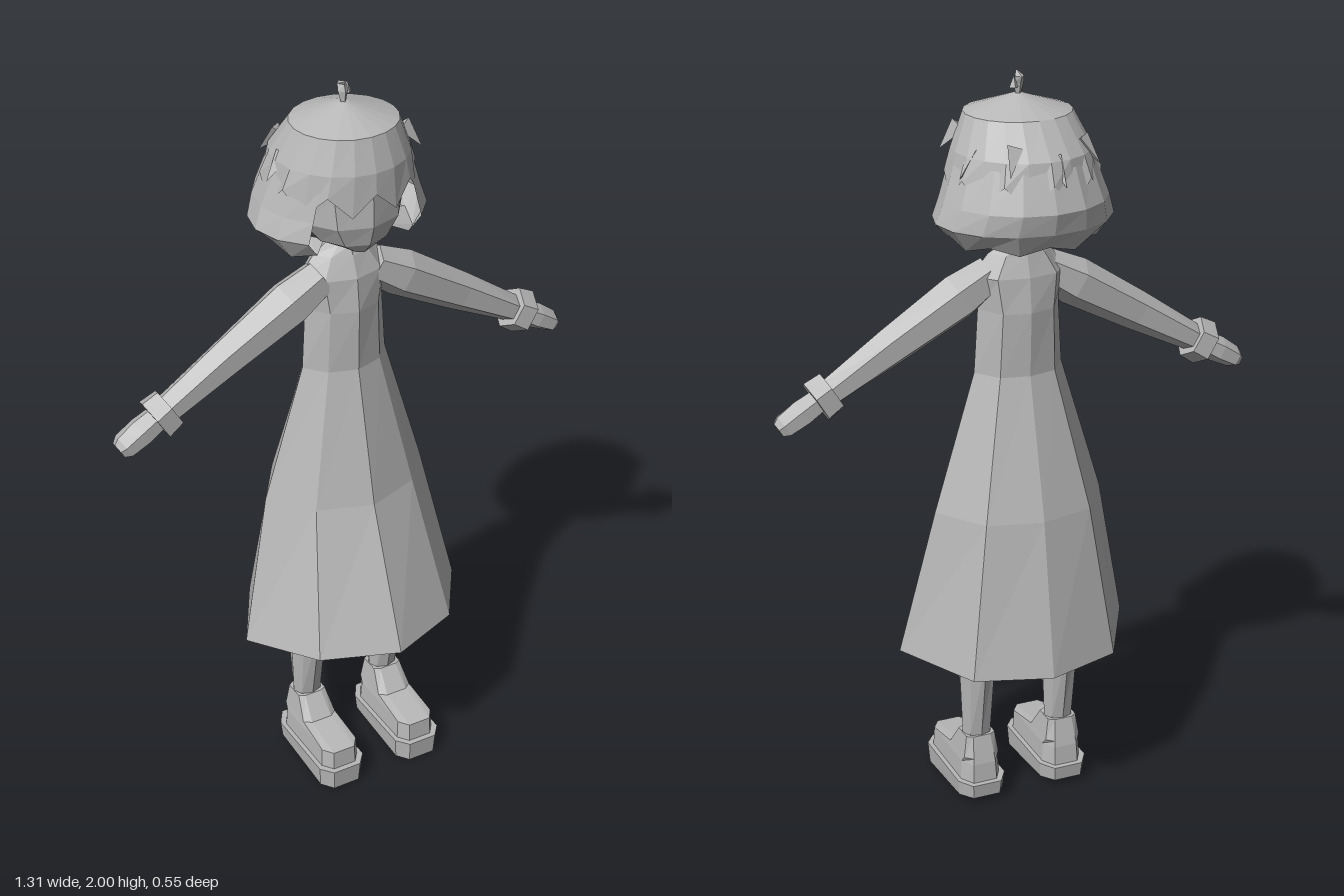
import * as THREE from 'three';

const grey = new THREE.MeshStandardMaterial({ color: 0xb8b8b8, flatShading: true, side: THREE.DoubleSide });
grey.name = 'plain grey';

// Plan directions, running from the front (+z) round by +x
const round = (n, from = 0, to = 2 * Math.PI, open = false) =>
  Array.from({ length: n }, (_, i) => {
    const a = from + (to - from) * i / (open ? n - 1 : n);
    return [Math.sin(a), Math.cos(a)];
  });
const mirrored = half => [...half, ...half.filter(p => p[0] > 0.001).reverse().map(([x, z]) => [-x, z])];
const DRESS = mirrored([[0, 1], [0.62, 0.7], [1, 0.02], [0.62, -0.78], [0, -1]]);
const SHOE = mirrored([[0.6, 1], [1, 0.78], [1, -0.72], [0.6, -1]]);

// One cross-section: height, half width, front z, back z
function ring(dirs, [y, rx, zf, zb], zigzag = 0) {
  const zc = (zf + zb) / 2, rz = (zf - zb) / 2;
  return dirs.map(([x, z], i) => new THREE.Vector3(x * rx, y - (i % 2) * zigzag, zc + z * rz));
}

// Skin between cross-sections listed from bottom to top
function loft(rings, { open = false, bottom = true, top = true } = {}) {
  const n = rings[0].length, pos = [], idx = [];
  rings.forEach(r => r.forEach(p => pos.push(p.x, p.y, p.z)));
  for (let j = 0; j < rings.length - 1; j++) {
    for (let i = 0; i < (open ? n - 1 : n); i++) {
      const a = j * n + i, b = j * n + (i + 1) % n;
      idx.push(a, b, b + n, a, b + n, a + n);
    }
  }
  const t = (rings.length - 1) * n;
  for (let i = 1; i < n - 1; i++) {
    if (bottom && !open) idx.push(0, i + 1, i);
    if (top && !open) idx.push(t, t + i, t + i + 1);
  }
  const g = new THREE.BufferGeometry();
  g.setAttribute('position', new THREE.Float32BufferAttribute(pos, 3));
  g.setIndex(idx);
  const flat = g.toNonIndexed();
  flat.computeVertexNormals();
  return flat;
}

export function createModel() {
  const model = new THREE.Group();
  model.name = 'girlInDress';
  const add = (name, geometry, parent = model) => {
    const m = new THREE.Mesh(geometry, grey);
    m.name = name;
    parent.add(m);
    return m;
  };
  const solid = (name, dirs, sections, parent, options) =>
    add(name, loft(sections.map(s => ring(dirs, s)), options), parent);

  // Skirt, open below with a hem that dips at the back
  const hem = ring(DRESS, [0.455, 0.325, 0.272, -0.275]);
  hem.forEach(p => { p.y += p.z * 0.055; });
  add('skirt', loft([hem,
    ring(DRESS, [0.86, 0.235, 0.125, -0.208]),
    ring(DRESS, [1.23, 0.122, 0.042, -0.116])], { bottom: false, top: false }));

  // Bodice, shoulders and collar
  solid('bodice', DRESS, [
    [1.23, 0.122, 0.042, -0.116], [1.4, 0.112, 0.045, -0.122], [1.49, 0.13, 0.035, -0.112],
    [1.545, 0.085, 0.012, -0.095], [1.57, 0.045, 0.0, -0.09]]);
  solid('neck', round(6), [[1.53, 0.038, 0.0, -0.085], [1.65, 0.038, 0.0, -0.085]]);

  for (const side of [1, -1]) {
    // Arm, built upright and then swung out and down
    const arm = new THREE.Group();
    arm.name = side > 0 ? 'leftArm' : 'rightArm';
    arm.position.set(side * 0.1, 1.473, -0.027);
    arm.rotation.z = -side * 2.102;
    model.add(arm);
    const six = round(6, Math.PI / 6, Math.PI * 13 / 6);
    solid('sleeve', six, [
      [-0.03, 0.05, 0.05, -0.05], [0.07, 0.064, 0.06, -0.06],
      [0.28, 0.053, 0.046, -0.046], [0.49, 0.036, 0.04, -0.04]], arm);
    solid('cuff', six, [
      [0.467, 0.058, 0.056, -0.056], [0.515, 0.062, 0.062, -0.062]], arm);
    solid('hand', six, [
      [0.5, 0.032, 0.036, -0.036], [0.56, 0.036, 0.042, -0.042],
      [0.615, 0.03, 0.04, -0.04], [0.632, 0.02, 0.028, -0.028]], arm);

    // Leg, ankle boot and thick sole
    const leg = new THREE.Group();
    leg.name = side > 0 ? 'leftLeg' : 'rightLeg';
    leg.position.x = side * 0.121;
    model.add(leg);
    solid('shin', round(8), [
      [0.12, 0.045, 0.02, -0.08], [0.19, 0.041, 0.0, -0.07],
      [0.45, 0.05, 0.045, -0.11], [0.7, 0.055, 0.06, -0.12]], leg);
    solid('boot', SHOE, [
      [0.055, 0.056, 0.18, -0.095], [0.113, 0.053, 0.177, -0.09],
      [0.13, 0.05, 0.05, -0.086], [0.19, 0.041, 0.002, -0.072]], leg);
    const sole = [ring(SHOE, [0.007, 0.064, 0.19, -0.105]), ring(SHOE, [0.06, 0.068, 0.195, -0.11])];
    sole[0].forEach(p => { p.y = Math.max(0, 0.012 - p.z * 0.07); });
    add('sole', loft(sole), leg);
  }

  // Face, tapering to the chin
  solid('face', round(10), [
    [1.583, 0.035, 0.07, -0.06], [1.615, 0.1, 0.098, -0.13], [1.67, 0.145, 0.115, -0.18],
    [1.76, 0.158, 0.112, -0.19], [1.86, 0.12, 0.07, -0.15]]);

  // Bob of hair, open round the face, curling under at a jagged hem
  const bob = round(13, 0.75, 2 * Math.PI - 0.75, true);
  add('hairBob', loft([
    ring(bob, [1.615, 0.12, 0.04, -0.16]),
    ring(bob, [1.605, 0.19, 0.11, -0.23], 0.018),
    ring(bob, [1.645, 0.233, 0.128, -0.262]),
    ring(bob, [1.7, 0.213, 0.128, -0.276]),
    ring(bob, [1.8, 0.178, 0.12, -0.24])], { open: true }));

  // Upper hair with a zigzag fringe all the way round
  add('hairCap', loft([
    ring(round(20), [1.765, 0.196, 0.127, -0.256], 0.055),
    ring(round(20), [1.82, 0.176, 0.125, -0.236]),
    ring(round(20), [1.905, 0.138, 0.1, -0.165]),
    ring(round(20), [1.946, 0.012, -0.02, -0.05])], { bottom: false }));

  // Loose tufts standing off the sides and back
  [[1.15, 1.84], [1.9, 1.8], [2.6, 1.82], [3.3, 1.79], [4.0, 1.82], [4.7, 1.8]].forEach(([a, y]) => {
    const tuft = add('hairTuft', new THREE.ConeGeometry(0.024, 0.08, 3));
    const out = new THREE.Vector3(Math.sin(a), 0, Math.cos(a));
    tuft.position.set(out.x * 0.177, y, -0.055 + out.z * 0.18);
    tuft.quaternion.setFromUnitVectors(new THREE.Vector3(0, 1, 0), out.setY(-1.2).normalize());
  });

  // Small curl on the crown
  solid('crownCurl', round(4), [
    [1.94, 0.006, -0.028, -0.042], [1.972, 0.014, -0.025, -0.05], [1.99, 0.012, -0.03, -0.06],
    [2.0, 0.003, -0.02, -0.03]]);
  add('curlTip', new THREE.ConeGeometry(0.012, 0.03, 4))
    .position.set(0.016, 1.978, -0.045);

  return model;
}
